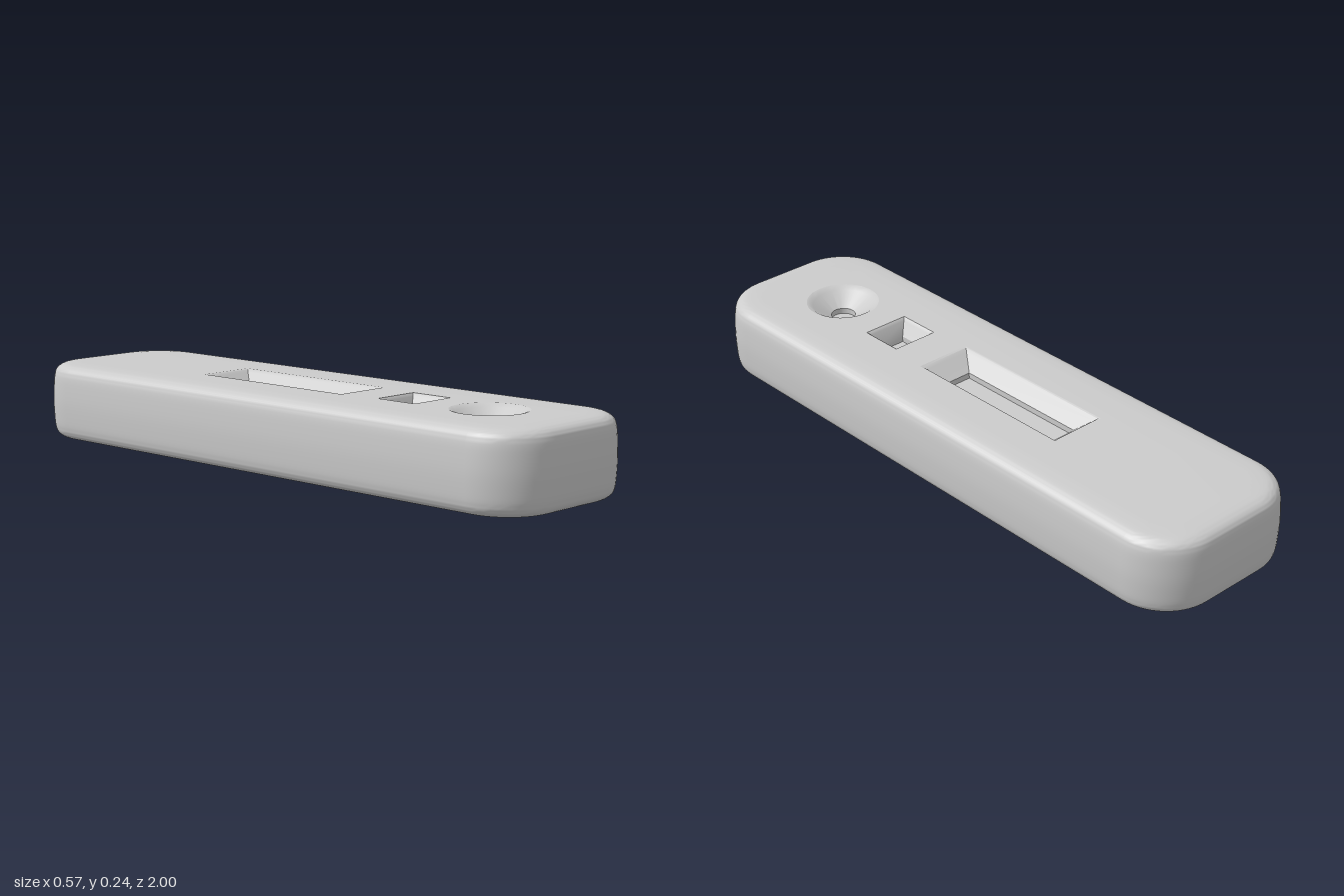
import * as THREE from 'three';
import { mergeGeometries, toCreasedNormals } from 'three/addons/utils/BufferGeometryUtils.js';

const TOP = 0.244;
const V = (x, y) => new THREE.Vector2(x, y);

// Plan outlines, counter-clockwise from above, as (x, -z)
function roundedOutline(inset) {
  const r = 0.175 - inset, cx = 0.283 - 0.175, cz = 1 - 0.175, n = 14, pts = [];
  [[1, 1], [-1, 1], [-1, -1], [1, -1]].forEach(([sx, sz], q) => {
    for (let i = 0; i <= n; i++) {
      const a = (q + i / n) * Math.PI / 2;
      pts.push(V(sx * cx + r * Math.cos(a), sz * cz + r * Math.sin(a)));
    }
  });
  return pts;
}
const rect = (hx, z0, z1) => [V(-hx, -z1), V(hx, -z1), V(hx, -z0), V(-hx, -z0)];
const circle = (r, z) => Array.from({ length: 40 }, (_, i) => {
  const a = i / 40 * Math.PI * 2;
  return V(r * Math.cos(a), r * Math.sin(a) - z);
});

// Skin through rings of equal point count; each row is { pts, y }
function loft(rows) {
  const n = rows[0].pts.length, pos = [], idx = [];
  rows.forEach(({ pts, y }) => pts.forEach(p => pos.push(p.x, y, -p.y)));
  for (let r = 0; r < rows.length - 1; r++) {
    for (let i = 0; i < n; i++) {
      const j = (i + 1) % n, a = r * n + i, b = r * n + j;
      idx.push(a, b, b + n, a, b + n, a + n);
    }
  }
  const g = new THREE.BufferGeometry();
  g.setAttribute('position', new THREE.Float32BufferAttribute(pos, 3));
  g.setIndex(idx);
  return g;
}

// Flat face at height y, facing up or down
function cap(pts, y, up = true, holes = []) {
  const shape = new THREE.Shape(pts);
  shape.holes = holes.map(h => new THREE.Path(h));
  const g = new THREE.ShapeGeometry(shape).rotateX(up ? -Math.PI / 2 : Math.PI / 2).translate(0, y, 0);
  g.deleteAttribute('uv');
  g.deleteAttribute('normal');
  return g;
}

export function createModel() {
  const group = new THREE.Group();
  const material = new THREE.MeshStandardMaterial({ color: 0xcccccc });
  const add = (name, parts) => {
    const g = toCreasedNormals(mergeGeometries(parts.map(p => p.toNonIndexed())), 0.55);
    const mesh = new THREE.Mesh(g, material);
    mesh.name = name;
    group.add(mesh);
  };

  const recesses = [
    { name: 'longSlot', rim: rect(0.092, -0.38, 0.2), floor: rect(0.043, -0.32, 0.13) },
    { name: 'squareRecess', rim: rect(0.077, 0.33, 0.47), floor: rect(0.043, 0.355, 0.44) },
    { name: 'roundRecess', rim: circle(0.115, 0.68), floor: circle(0.038, 0.68) },
  ];

  // Body: softly bulging sides with rounded edges (inset, height)
  const half = [[0.09, 0], [0.045, 0.003], [0.025, 0.009], [0.011, 0.021], [0.005, 0.04], [0.002, 0.07]];
  const profile = [...half, [0, TOP / 2], ...half.map(([d, y]) => [d, TOP - y]).reverse()];
  const rows = new THREE.SplineCurve(profile.map(p => V(...p))).getPoints(36)
    .map(p => ({ pts: roundedOutline(p.x), y: p.y }));
  add('body', [
    loft(rows),
    cap(roundedOutline(0.09), TOP, true, recesses.map(r => r.rim)),
    cap(roundedOutline(0.09), 0, false),
  ]);

  // Recesses: softened rim, sloping walls, short upright step and flat floor
  const steps = [[0, 0], [0.1, 0.002], [0.25, 0.01], [1, 0.047], [1, 0.065]];
  recesses.forEach(({ name, rim, floor }) => {
    const walls = steps.map(([t, d]) => ({ pts: rim.map((p, i) => p.clone().lerp(floor[i], t)), y: TOP - d }));
    add(name, [loft(walls), cap(floor, TOP - 0.065)]);
  });
  return group;
}
